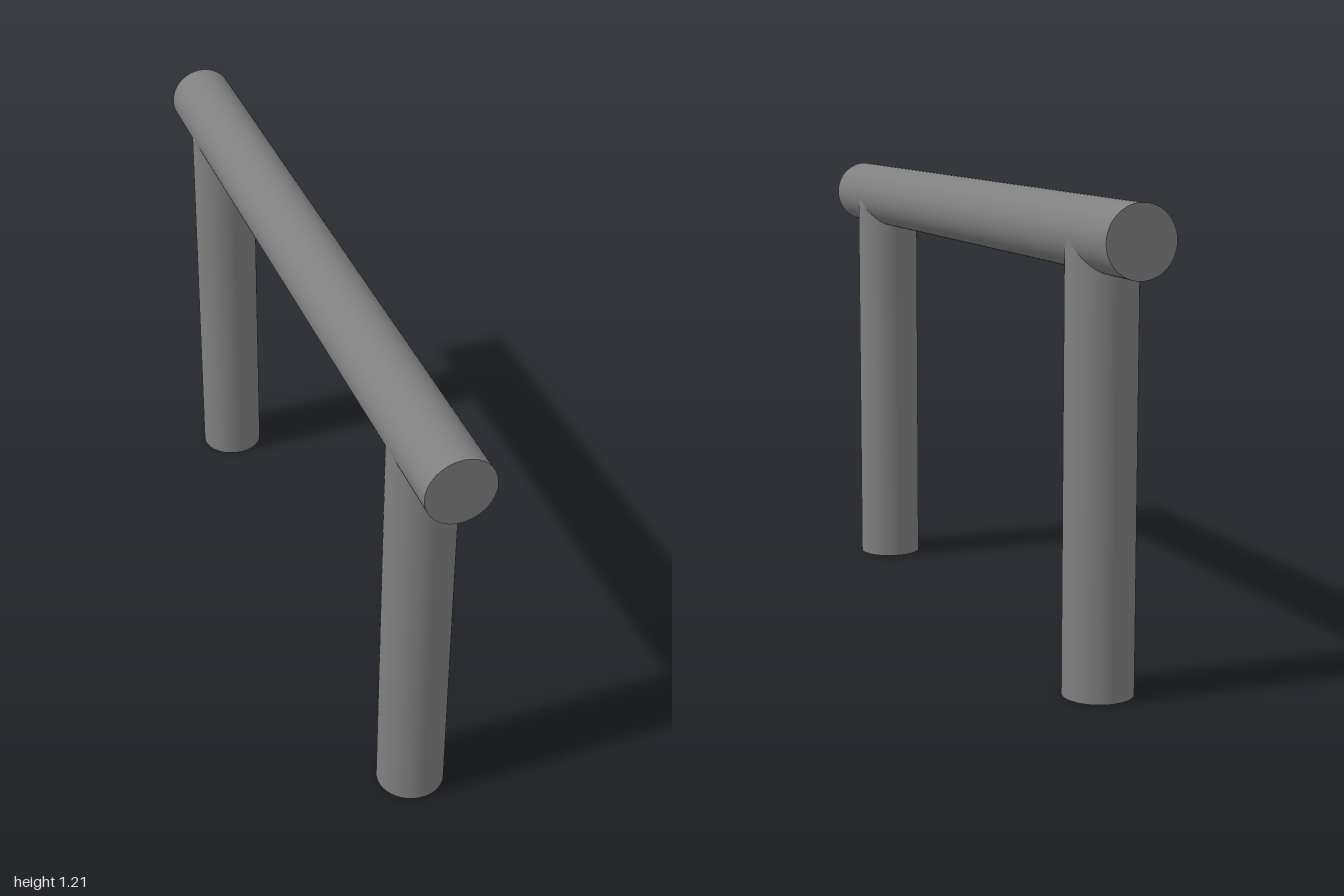
import * as THREE from 'three';

export function createModel() {
  const group = new THREE.Group();
  const greyMetal = new THREE.MeshStandardMaterial({ color: 0x808080 });
  greyMetal.name = 'greyMetal';

  const radius = 0.089;
  const barHeight = 1.118;

  // Solid round tube, standing along y
  const addTube = (name, length) => {
    const mesh = new THREE.Mesh(new THREE.CylinderGeometry(radius, radius, length, 64), greyMetal);
    mesh.name = name;
    group.add(mesh);
    return mesh;
  };

  // Horizontal grab bar running front to back
  const bar = addTube('bar', 2);
  bar.rotation.x = Math.PI / 2;
  bar.position.y = barHeight;

  // Posts rise to the bar's axis, so the equal tubes meet in a saddle joint
  for (const [name, z] of [['frontPost', 0.777], ['backPost', -0.789]]) {
    addTube(name, barHeight).position.set(0, barHeight / 2, z);
  }

  return group;
}
